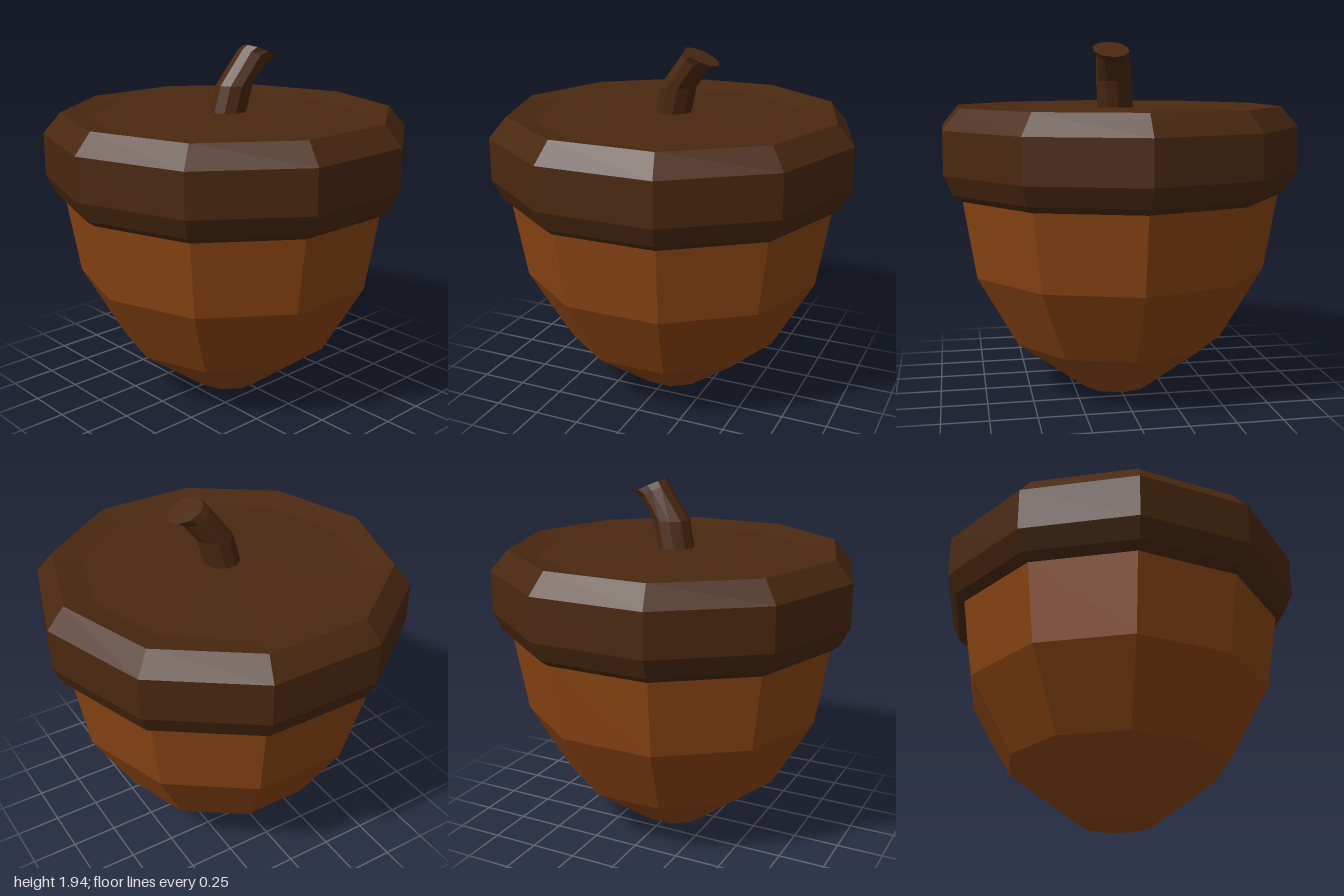
import * as THREE from 'three';

const SIDES = 10;

function material(color) {
  return new THREE.MeshStandardMaterial({ color, flatShading: true, roughness: 0.9 });
}

// Faceted solid of revolution from [radius, height] pairs, listed bottom to top
function turned(name, profile, color) {
  const points = profile.map(([r, y]) => new THREE.Vector2(r, y));
  const mesh = new THREE.Mesh(new THREE.LatheGeometry(points, SIDES), material(color));
  mesh.name = name;
  return mesh;
}

// Bent stem: each ring of a cylinder is moved, resized and tilted
function makeStem(color) {
  const rings = [
    { x: 0, y: 1.55, z: 0.01, rx: 0.1, rz: 0.1, tilt: 0 },
    { x: 0.017, y: 1.73, z: -0.033, rx: 0.098, rz: 0.102, tilt: 0 },
    { x: 0.04, y: 1.872, z: -0.14, rx: 0.092, rz: 0.07, tilt: 0.6 },
    { x: 0.058, y: 1.898, z: -0.182, rx: 0.1, rz: 0.092, tilt: 0.46 },
  ];
  const geometry = new THREE.CylinderGeometry(1, 1, 3, SIDES, 3);
  const p = geometry.attributes.position;
  for (let i = 0; i < p.count; i++) {
    const ring = rings[Math.round(p.getY(i) + 1.5)];
    const dx = p.getX(i) * ring.rx;
    const dz = p.getZ(i) * ring.rz;
    p.setXYZ(i, ring.x + dx, ring.y + dz * ring.tilt, ring.z + dz);
  }
  geometry.computeVertexNormals();
  const mesh = new THREE.Mesh(geometry, material(color));
  mesh.name = 'stem';
  return mesh;
}

export function createModel() {
  const model = new THREE.Group();
  model.name = 'acorn';

  // Nut with a small flat tip
  model.add(turned('nut', [
    [0, 0], [0.2, 0], [0.6, 0.3], [0.83, 0.7], [0.9, 1.115],
  ], 0x8b4513));

  // Cap with bevelled rim and a shallow dished top
  model.add(turned('cap', [
    [0.89, 1.115], [0.905, 1.115], [0.95, 1.15], [1, 1.255], [1, 1.485],
    [0.905, 1.595], [0.74, 1.56], [0, 1.59],
  ], 0x4a2810));

  model.add(makeStem(0x4a2810));
  return model;
}
